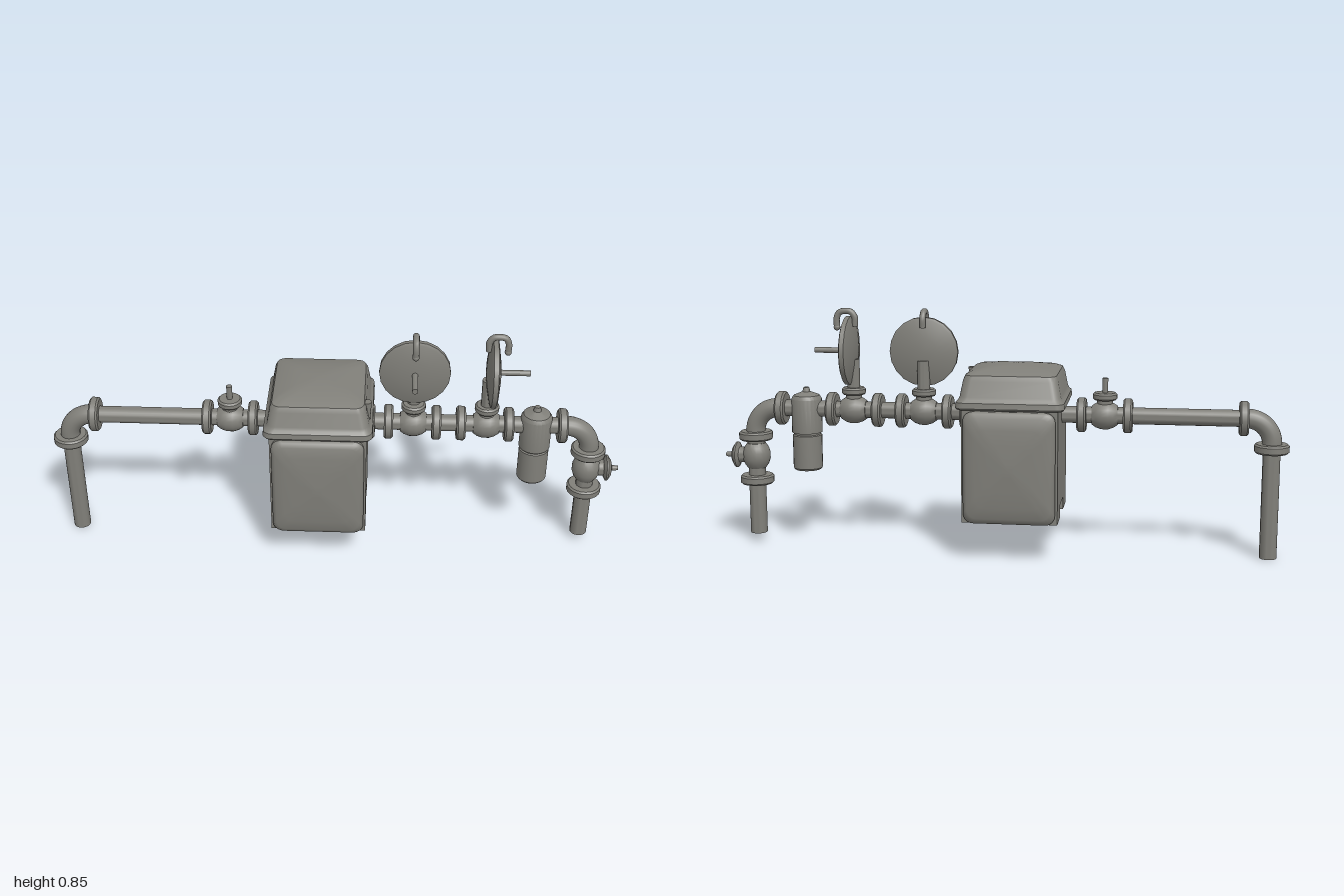
import * as THREE from 'three';
import { toCreasedNormals } from 'three/addons/utils/BufferGeometryUtils.js';

const V = (x, y, z = 0) => new THREE.Vector3(x, y, z);
const AXIS = 0.49; // height of the main pipe run

export function createModel() {
  const model = new THREE.Group();
  const grey = new THREE.MeshStandardMaterial({ color: 0x807f79 });
  grey.name = 'paintedGrey';

  const add = (name, geo, parent = model) => {
    const mesh = new THREE.Mesh(geo, grey);
    mesh.name = name;
    parent.add(mesh);
    return mesh;
  };

  // Turned part: profile of [radius, distance] swept about the line from `at` along `dir`
  const turned = (name, profile, at, dir, parent = model, sides = 24) => {
    const pts = profile.map(([r, d]) => new THREE.Vector2(r, d));
    const mesh = add(name, toCreasedNormals(new THREE.LatheGeometry(pts, sides), 0.6), parent);
    mesh.position.copy(at);
    mesh.quaternion.setFromUnitVectors(V(0, 1), dir);
    return mesh;
  };
  const rod = (name, r, a, b, parent = model) => {
    const d = b.clone().sub(a);
    const len = d.length();
    return turned(name, [[0, 0], [r, 0], [r, len], [0, len]], a, d.normalize(), parent);
  };
  const flange = (name, at, dir) => turned(name,
    [[0, -0.016], [0.054, -0.016], [0.06, -0.01], [0.06, 0.01], [0.054, 0.016], [0, 0.016]], at, dir);

  // Rounded-rectangle cross-sections [halfX, halfY, cornerRadius, z], capped at both ends
  const loft = (rings) => {
    const per = 6, n = per * 4, pos = [], idx = [];
    for (const [hx, hy, r, z] of rings) {
      for (let c = 0; c < 4; c++) {
        const sx = c === 0 || c === 3 ? 1 : -1, sy = c < 2 ? 1 : -1;
        for (let k = 0; k < per; k++) {
          const a = (c + k / (per - 1)) * Math.PI / 2;
          pos.push(sx * (hx - r) + r * Math.cos(a), sy * (hy - r) + r * Math.sin(a), z);
        }
      }
    }
    const last = (rings.length - 1) * n, low = rings.length * n;
    pos.push(0, 0, rings[0][3], 0, 0, rings[rings.length - 1][3] + 0.002);
    for (let i = 0; i < n; i++) {
      const j = (i + 1) % n;
      for (let k = 0; k < last; k += n) {
        idx.push(k + i, k + j, k + n + j, k + i, k + n + j, k + n + i);
      }
      idx.push(low, j, i, low + 1, last + i, last + j);
    }
    const g = new THREE.BufferGeometry();
    g.setAttribute('position', new THREE.Float32BufferAttribute(pos, 3));
    g.setIndex(idx);
    return toCreasedNormals(g, 0.6);
  };

  // Meter body with a channel running under it
  const cx = -0.0525;
  const outline = new THREE.Shape([
    [-0.168, 0.135], [-0.06, 0.135], [-0.06, 0.18], [0.06, 0.18], [0.06, 0.135], [0.168, 0.135],
    [0.168, 0.535], [-0.168, 0.535],
  ].map(([x, y]) => new THREE.Vector2(x, y)));
  const bodyGeo = new THREE.ExtrudeGeometry(outline, { depth: 0.33, bevelEnabled: false });
  bodyGeo.rotateY(Math.PI / 2).translate(cx - 0.165, 0, 0);
  add('meterBody', bodyGeo);

  // Bulging front and back covers
  const cover = loft([
    [0.155, 0.194, 0.035, 0.155], [0.158, 0.194, 0.035, 0.18], [0.154, 0.188, 0.035, 0.189],
    [0.144, 0.174, 0.035, 0.196], [0.115, 0.135, 0.035, 0.202], [0.07, 0.08, 0.03, 0.207],
    [0.02, 0.025, 0.015, 0.209],
  ]);
  for (const side of [0, 1]) {
    const m = add(side ? 'backCover' : 'frontCover', cover);
    m.position.set(cx, 0.33, 0);
    m.rotation.y = side * Math.PI;
  }

  // Domed lid with a lip
  const lid = add('meterLid', loft([
    [0.182, 0.184, 0.03, 0.528], [0.186, 0.188, 0.03, 0.534], [0.184, 0.186, 0.03, 0.553],
    [0.176, 0.178, 0.03, 0.562], [0.172, 0.172, 0.03, 0.572], [0.162, 0.164, 0.03, 0.625],
    [0.155, 0.154, 0.03, 0.642], [0.135, 0.125, 0.03, 0.652], [0.08, 0.07, 0.03, 0.662],
    [0.03, 0.03, 0.02, 0.665],
  ]));
  lid.rotation.x = -Math.PI / 2;
  lid.position.x = cx;
  const tab = turned('lidTab', [[0, 0], [0.011, 0], [0.015, 0.07], [0, 0.07]], V(0.112, 0.566, 0.1), V(0, 1));
  tab.scale.z = 0.95;

  // Main pipe run and its flanges
  rod('leftMainPipe', 0.029, V(-0.85, AXIS), V(-0.2, AXIS));
  rod('rightMainPipe', 0.029, V(0.1, AXIS), V(0.8, AXIS));
  for (const x of [-0.84, -0.445, -0.285, 0.122, 0.185, 0.35, 0.435, 0.6, 0.785]) {
    flange('pipeFlange', V(x, AXIS), V(1, 0));
  }

  // Elbows and legs on both ends
  const leg = (name, s, x, y0, y1) => {
    const path = new THREE.QuadraticBezierCurve3(V(x - s * 0.1, AXIS), V(x, AXIS), V(x, 0.385));
    const bend = new THREE.CurvePath();
    const r = 0.085;
    bend.add(new THREE.LineCurve3(V(x - s * 0.11, AXIS), V(x - s * r, AXIS)));
    bend.add(new THREE.CubicBezierCurve3(V(x - s * r, AXIS), V(x - s * r * 0.45, AXIS),
      V(x, AXIS - r * 0.45), V(x, AXIS - r)));
    bend.add(new THREE.LineCurve3(V(x, AXIS - r), path.v2));
    add(name + 'Elbow', new THREE.TubeGeometry(bend, 28, 0.034, 20));
    flange(name + 'ElbowFlange', V(x, 0.388), V(0, 1));
    rod(name + 'Leg', 0.03, V(x, y0), V(x, y1));
  };
  leg('left', -1, -0.937, 0, 0.39);
  leg('right', 1, 0.885, 0.03, 0.39);
  flange('rightLegFlange', V(0.885, 0.228), V(0, 1));

  // Valve bodies: rounded bulge on the pipe with a side neck
  const valve = (name, at, along, out) => {
    turned(name + 'Body', [[0, -0.045], [0.033, -0.045], [0.043, -0.03], [0.049, -0.012], [0.049, 0.012],
      [0.043, 0.03], [0.033, 0.045], [0, 0.045]], at, along);
    rod(name + 'Neck', 0.028, at, at.clone().addScaledVector(out, 0.062));
  };
  const cap = [[0, 0.055], [0.038, 0.055], [0.042, 0.06], [0.042, 0.074], [0.036, 0.08], [0, 0.08]];

  // Shut-off valve on the left run
  const shut = V(-0.365, AXIS);
  valve('shutOffValve', shut, V(1, 0), V(0, 1));
  turned('shutOffCap', cap, shut, V(0, 1));
  rod('shutOffStem', 0.01, V(-0.365, 0.56), V(-0.365, 0.62));

  // Leg valve with a domed knob
  const legValve = V(0.885, 0.315);
  valve('legValve', legValve, V(0, 1), V(1, 0));
  turned('legValveKnob', [[0, 0.04], [0.022, 0.045], [0.03, 0.06], [0.046, 0.068], [0.046, 0.074],
    [0.03, 0.085], [0.01, 0.09], [0.008, 0.112], [0, 0.112]], legValve, V(1, 0));

  // Regulators: lens-shaped diaphragm case, spring stem and vent hook, facing local +z
  const regulator = (name, x, turn) => {
    valve(name + 'Valve', V(x, AXIS), V(1, 0), V(0, 1));
    turned(name + 'Collar', cap, V(x, AXIS), V(0, 1));
    const g = new THREE.Group();
    g.name = name;
    g.position.set(x + (turn ? 0.014 : 0), 0.70, turn ? 0 : 0.008);
    g.rotation.y = turn;
    model.add(g);
    turned('diaphragmCase', [[0, -0.027], [0.05, -0.023], [0.112, -0.012], [0.121, -0.008], [0.121, 0.008],
      [0.112, 0.012], [0.05, 0.021], [0, 0.024]], V(0, 0), V(0, 0, 1), g, 20);
    rod('springStem', 0.01, V(0, 0, 0.01), V(0, 0, 0.123), g);
    rod('supportPost', 0.022, V(0, -0.15, -0.014), V(0, -0.03, -0.014), g);
    const hook = new THREE.CatmullRomCurve3([V(0, 0.085, -0.022), V(0, 0.118, -0.022), V(0, 0.136, -0.008),
      V(0, 0.139, 0.012), V(0, 0.134, 0.032), V(0, 0.115, 0.042), V(0, 0.082, 0.042)]);
    add('ventHook', new THREE.TubeGeometry(hook, 24, 0.011, 10), g);
    const tip = add('ventTip', new THREE.SphereGeometry(0.012, 12, 8), g);
    tip.position.set(0, 0.082, 0.042);
  };
  regulator('frontRegulator', 0.27, 0);
  regulator('sideRegulator', 0.522, Math.PI / 2);

  // Filter head and hanging bowl
  turned('filterHead', [[0, 0.405], [0.054, 0.405], [0.054, 0.525], [0.046, 0.538], [0.014, 0.551],
    [0.01, 0.566], [0, 0.566]], V(0.695, 0), V(0, 1));
  turned('filterBowl', [[0, 0.27], [0.046, 0.27], [0.052, 0.277], [0.052, 0.395], [0.047, 0.398],
    [0.047, 0.41], [0, 0.41]], V(0.695, 0), V(0, 1));

  return model;
}
